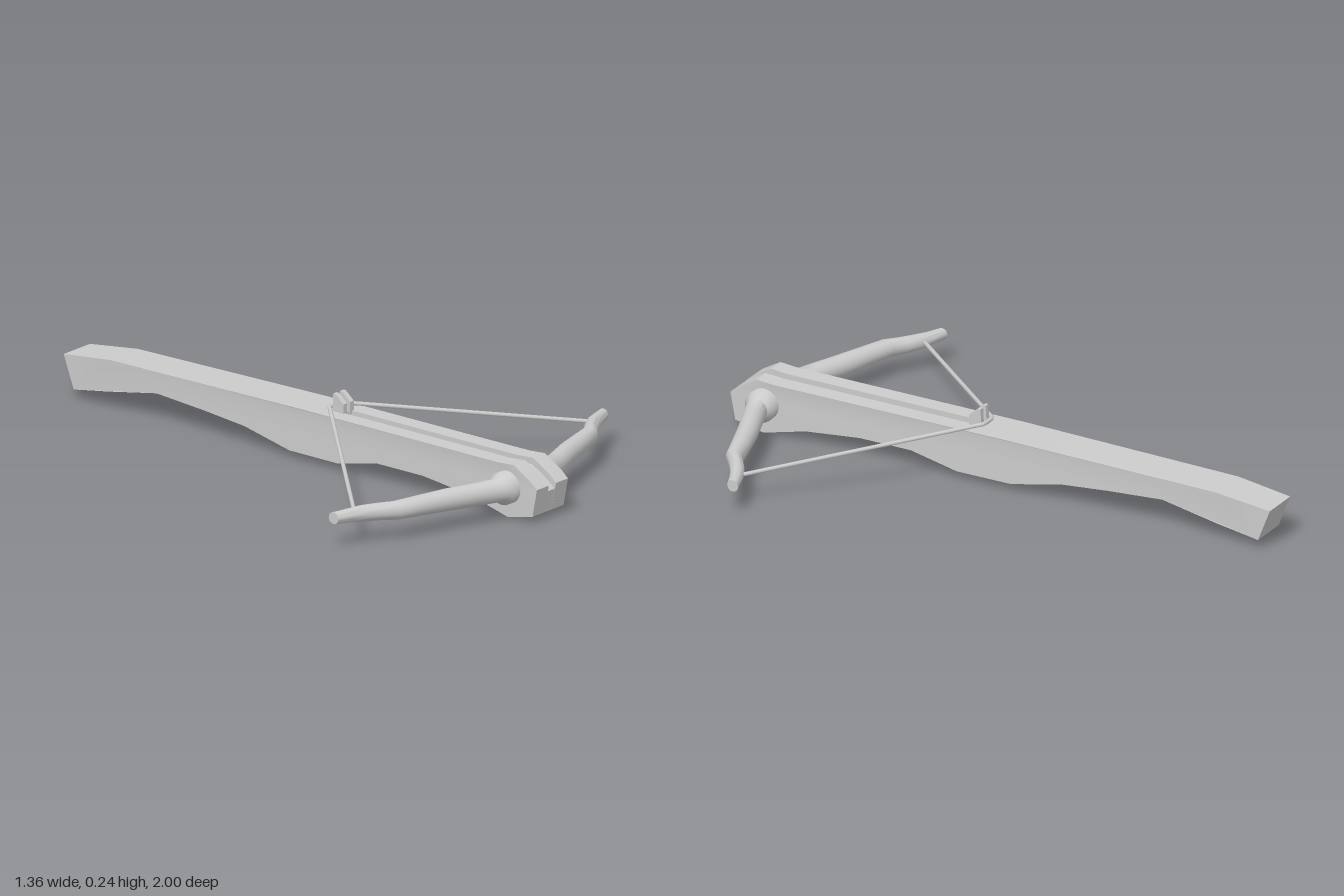
import * as THREE from 'three';
import { toCreasedNormals } from 'three/addons/utils/BufferGeometryUtils.js';

const GROOVE = 0.018;

// Extrude a side outline of [z, y] points across x, from x0 to x1
function sideExtrude(points, x0, x1) {
  const shape = new THREE.Shape(points.map(([z, y]) => new THREE.Vector2(z, y)));
  const geo = new THREE.ExtrudeGeometry(shape, { depth: x1 - x0, bevelEnabled: false });
  return geo.rotateY(-Math.PI / 2).translate(x1, 0, 0);
}

// Half width of the stock along z, narrowing towards the butt
function halfWidth(z) {
  if (z > -0.8) return THREE.MathUtils.mapLinear(Math.min(z, 0.2), 0.2, -0.8, 0.078, 0.072);
  return THREE.MathUtils.mapLinear(z, -0.8, -1, 0.072, 0.066);
}

function taper(geo) {
  const p = geo.attributes.position;
  for (let i = 0; i < p.count; i++) {
    const x = p.getX(i);
    if (Math.abs(x) > GROOVE + 0.001) p.setX(i, Math.sign(x) * halfWidth(p.getZ(i)));
  }
  return toCreasedNormals(geo, 0.6);
}

export function createModel() {
  const group = new THREE.Group();
  group.name = 'crossbow';
  const material = new THREE.MeshStandardMaterial({ color: 0xcccccc });
  const add = (name, geo, parent = group) => {
    const mesh = new THREE.Mesh(geo, material);
    mesh.name = name;
    parent.add(mesh);
    return mesh;
  };

  // Stock: two cheeks and a core whose lowered top makes the bolt groove
  const under = [
    [-0.995, 0.146], [-0.952, 0.035], [-0.8, 0.062], [-0.6, 0.1], [-0.4, 0.086],
    [-0.23, 0.07], [-0.04, 0.029], [0.16, 0.029], [0.33, 0.065], [0.52, 0.065],
    [0.72, 0.043], [0.877, 0.003], [0.982, 0.026],
  ];
  const topBack = [[0, 0.18], [-0.8, 0.17]];
  const cheek = [[1, 0.12], [0.97, 0.146], [0.904, 0.185], [0.84, 0.18], ...topBack, ...under];
  const core = [
    [0.995, 0.1], [0.955, 0.13], [0.9, 0.162], [0.84, 0.16], [0.14, 0.16], [0.14, 0.18],
    ...topBack, ...under,
  ];
  const stock = new THREE.Group();
  stock.name = 'stock';
  group.add(stock);
  add('leftCheek', taper(sideExtrude(cheek, GROOVE, 0.078)), stock);
  add('rightCheek', taper(sideExtrude(cheek, -0.078, -GROOVE)), stock);
  add('grooveCore', taper(sideExtrude(core, -GROOVE, GROOVE)), stock);

  // Bow: round sections [x, radius, centre z], mirrored, then bent back along z
  const half = [
    [0.05, 0.055, 0.876], [0.105, 0.055, 0.876], [0.128, 0.039, 0.874], [0.2, 0.038, 0.848],
    [0.3, 0.037, 0.81], [0.4, 0.034, 0.778], [0.49, 0.031, 0.75], [0.535, 0.029, 0.715],
    [0.58, 0.027, 0.687], [0.625, 0.023, 0.667], [0.678, 0.02, 0.648], [0.678, 0, 0.648],
  ];
  const stations = [...half.map(([x, r, z]) => [-x, r, z]).reverse(), ...half];
  const bow = new THREE.LatheGeometry(stations.map(([x, r]) => new THREE.Vector2(r, x)), 20);
  bow.rotateZ(-Math.PI / 2);
  const p = bow.attributes.position;
  for (let i = 0; i < p.count; i++) {
    p.setZ(i, p.getZ(i) + stations[i % stations.length][2]);
    p.setY(i, p.getY(i) + 0.105);
  }
  add('bow', toCreasedNormals(bow, 0.75));

  // String: straight runs from the limbs, drawn back behind the catch
  const knots = [
    [0.588, 0.107, 0.66], [0.038, 0.192, 0.098], [0.026, 0.193, 0.088],
  ].map((v) => new THREE.Vector3(...v));
  const path = new THREE.CurvePath();
  const all = [...knots, ...knots.map((v) => new THREE.Vector3(-v.x, v.y, v.z)).reverse()];
  for (let i = 1; i < all.length; i++) path.add(new THREE.LineCurve3(all[i - 1], all[i]));
  add('string', new THREE.TubeGeometry(path, 160, 0.007, 8));

  // Catch: two upright prongs that hold the string
  const prong = [[0.098, 0.17], [0.145, 0.17], [0.145, 0.212], [0.112, 0.24], [0.102, 0.24]];
  for (const [name, x] of [['leftProng', 0.008], ['rightProng', -0.026]]) {
    add(name, toCreasedNormals(sideExtrude(prong, x, x + 0.018), 0.4));
  }
  return group;
}
